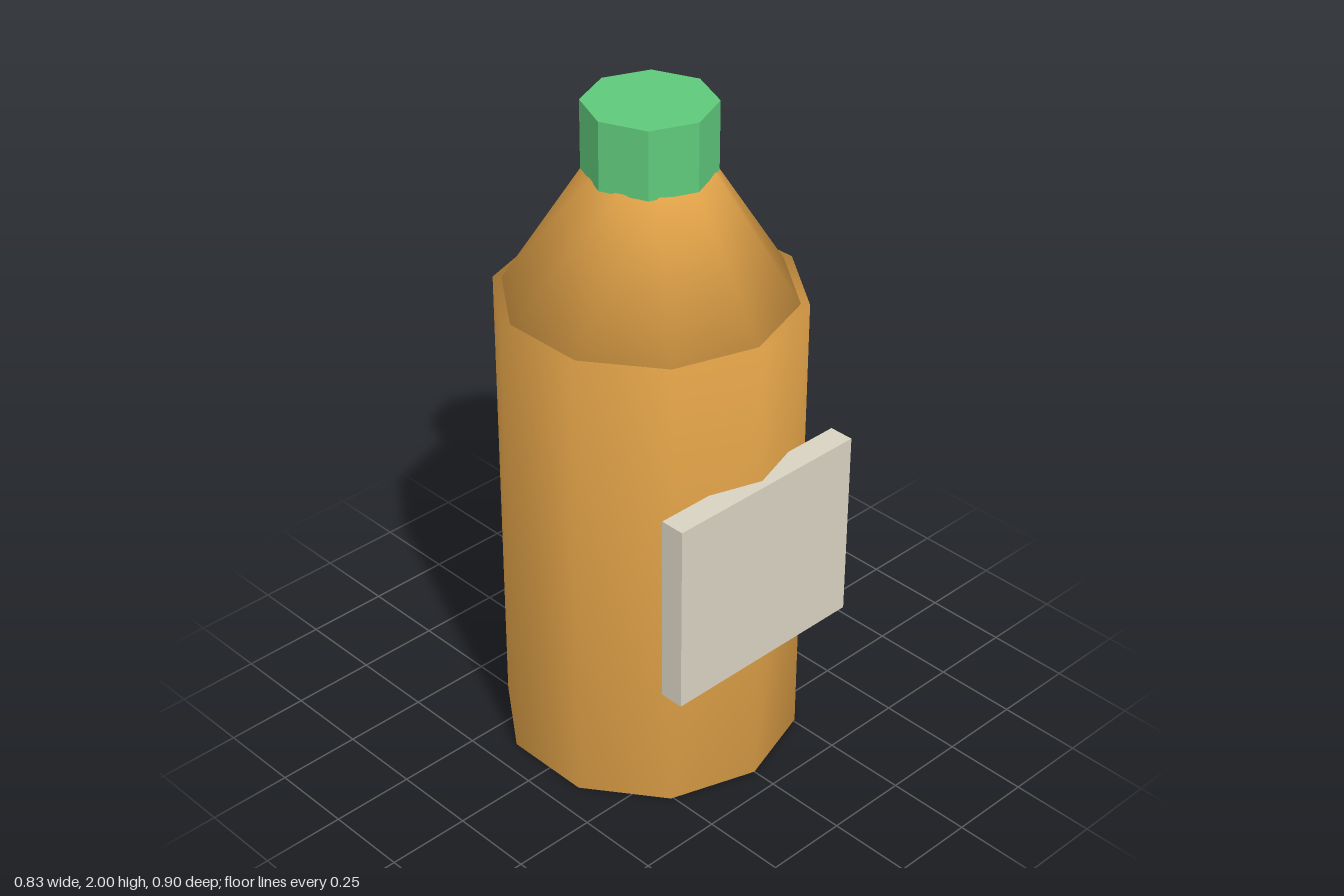
import * as THREE from 'three';
import { mergeVertices } from 'three/addons/utils/BufferGeometryUtils.js';

const AXIS_Z = -0.0125;

function material(name, color) {
  const m = new THREE.MeshStandardMaterial({ color });
  m.name = name;
  return m;
}

// Closed tapered cylinder standing between two heights on the bottle axis
function tier(topRadius, bottomRadius, y0, y1, sides) {
  const g = new THREE.CylinderGeometry(topRadius, bottomRadius, y1 - y0, sides);
  return g.translate(0, (y0 + y1) / 2, AXIS_Z);
}

// Share corner vertices so that normals blend over the rims
function smooth(g) {
  g.deleteAttribute('uv');
  g.deleteAttribute('normal');
  const merged = mergeVertices(g, 1e-4);
  merged.computeVertexNormals();
  return merged;
}

export function createModel() {
  const group = new THREE.Group();
  group.name = 'bottle';
  const amber = material('amber', 0xe1a248);
  const green = material('green', 0x5fc87b);
  const paper = material('paper', 0xd8d1c1);
  green.flatShading = true;

  const add = (name, geometry, mat) => {
    const mesh = new THREE.Mesh(geometry, mat);
    mesh.name = name;
    group.add(mesh);
  };

  // Ten-sided body and shoulder, softly shaded
  add('body', smooth(tier(0.4375, 0.4375, 0, 1.43, 10)), amber);
  add('shoulder', smooth(tier(0.175, 0.4125, 1.43, 1.805, 10)), amber);

  // Eight-sided faceted cap
  add('cap', tier(0.184, 0.184, 1.8, 2, 8), green);

  // Flat label board across the front
  const label = new THREE.BoxGeometry(0.655, 0.58, 0.075);
  add('label', label.translate(0, 0.73, 0.4125), paper);

  return group;
}
